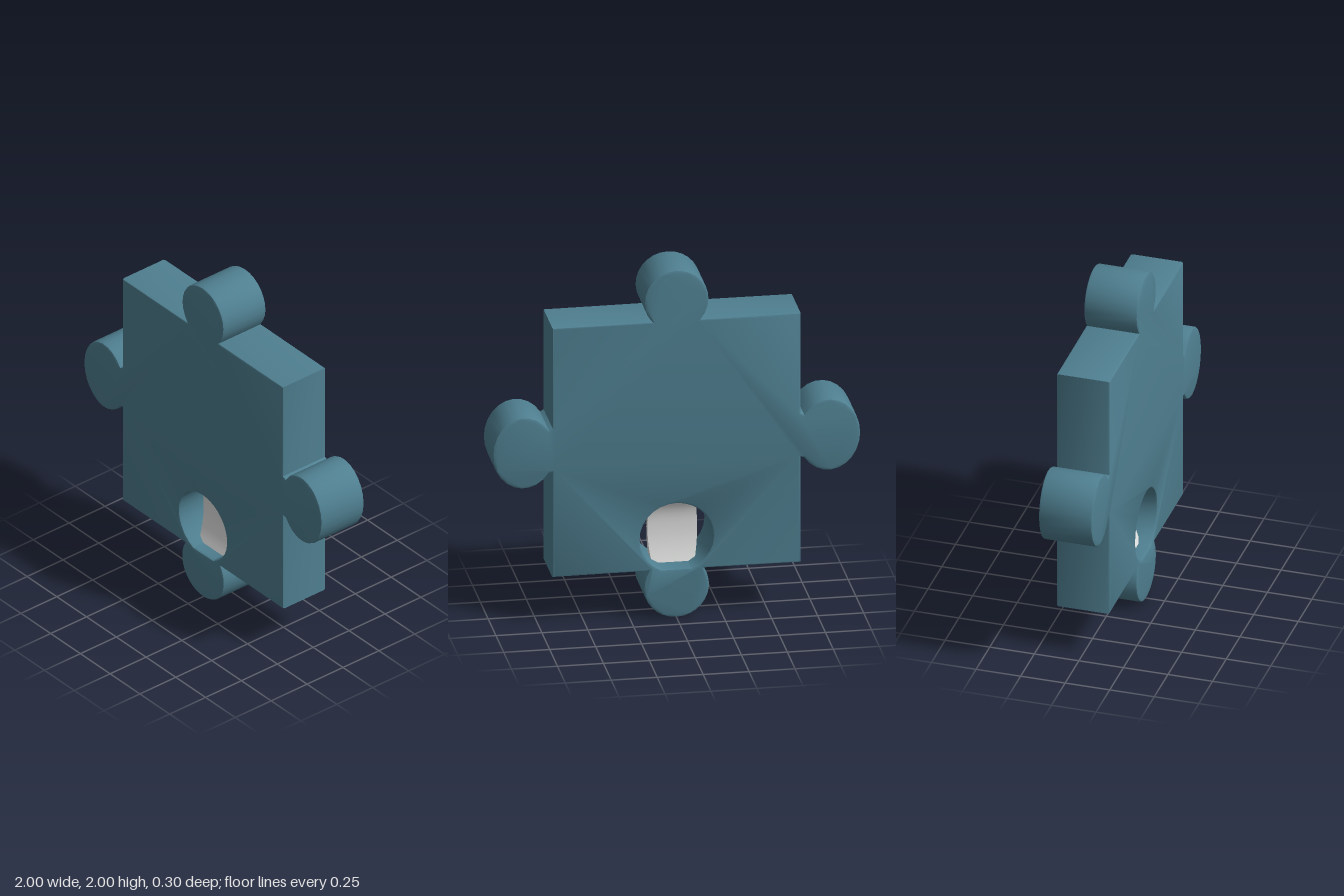
import * as THREE from 'three';
import { toCreasedNormals } from 'three/addons/utils/BufferGeometryUtils.js';

const teal = new THREE.MeshStandardMaterial({ color: 0x4f7f90 });
teal.name = 'teal';
const white = new THREE.MeshStandardMaterial({ color: 0xe0e2e0, side: THREE.DoubleSide });
white.name = 'white';

const HALF = 0.675, BOTTOM = 0.275, TOP = 1.71, DEPTH = 0.3;
const rad = THREE.MathUtils.degToRad;

// Points of an elliptical arc, angles in degrees
function arc(cx, cy, rx, ry, from, to, steps = 20) {
  return Array.from({ length: steps + 1 }, (_, i) => {
    const a = rad(from + (to - from) * i / steps);
    return new THREE.Vector2(cx + rx * Math.cos(a), cy + ry * Math.sin(a));
  });
}

function createPiece() {
  const p = (x, y) => new THREE.Vector2(x, y);
  // Counter-clockwise outline: square with one knob on each side
  const outline = [
    p(-HALF, BOTTOM),
    ...arc(0, 0.18, 0.178, 0.178, 147, 393),
    p(HALF, BOTTOM),
    p(HALF, 0.88),
    ...arc(0.83, 1, 0.17, 0.205, -143, 143),
    p(HALF, 1.135),
    p(HALF, TOP),
    ...arc(0, 1.825, 0.175, 0.175, -41, 221),
    p(-HALF, TOP),
    p(-HALF, 1.135),
    ...arc(-0.83, 1, 0.17, 0.205, 37, 323),
    p(-HALF, 0.88),
  ];
  const shape = new THREE.Shape(outline);
  // Round hole with a flat floor just above the bottom knob
  shape.holes.push(new THREE.Path(arc(0, 0.46, 0.2, 0.197, -66, 246, 24).reverse()));

  const bevel = 0.012;
  const geometry = new THREE.ExtrudeGeometry(shape, {
    depth: DEPTH - 2 * bevel,
    bevelThickness: bevel, bevelSize: bevel, bevelOffset: -bevel, bevelSegments: 2,
  });
  geometry.translate(0, 0, bevel - DEPTH / 2);
  const mesh = new THREE.Mesh(toCreasedNormals(geometry, rad(35)), teal);
  mesh.name = 'puzzlePiece';
  return mesh;
}

// Thin waisted post standing inside the hole
function createPost() {
  const rows = 14, y0 = 0.275, y1 = 0.657;
  const geometry = new THREE.BoxGeometry(1, 1, 1, 4, rows, 1);
  const pos = geometry.attributes.position;
  for (let i = 0; i < pos.count; i++) {
    const t = pos.getY(i) + 0.5;
    const u = 2 * t - 1;
    const width = 0.27 - 0.04 * u * u;
    const flare = u > 0 ? 0.1 * u ** 3 : 0.05 * u * u;
    const z = pos.getZ(i) > 0 ? 0.03 + flare : -0.01 - flare * 0.6;
    pos.setXYZ(i, pos.getX(i) * width, y0 + (y1 - y0) * t, z);
  }
  const mesh = new THREE.Mesh(toCreasedNormals(geometry, rad(35)), white);
  mesh.name = 'innerPost';
  return mesh;
}

export function createModel() {
  const model = new THREE.Group();
  model.name = 'jigsawPiece';
  model.add(createPiece(), createPost());
  return model;
}
